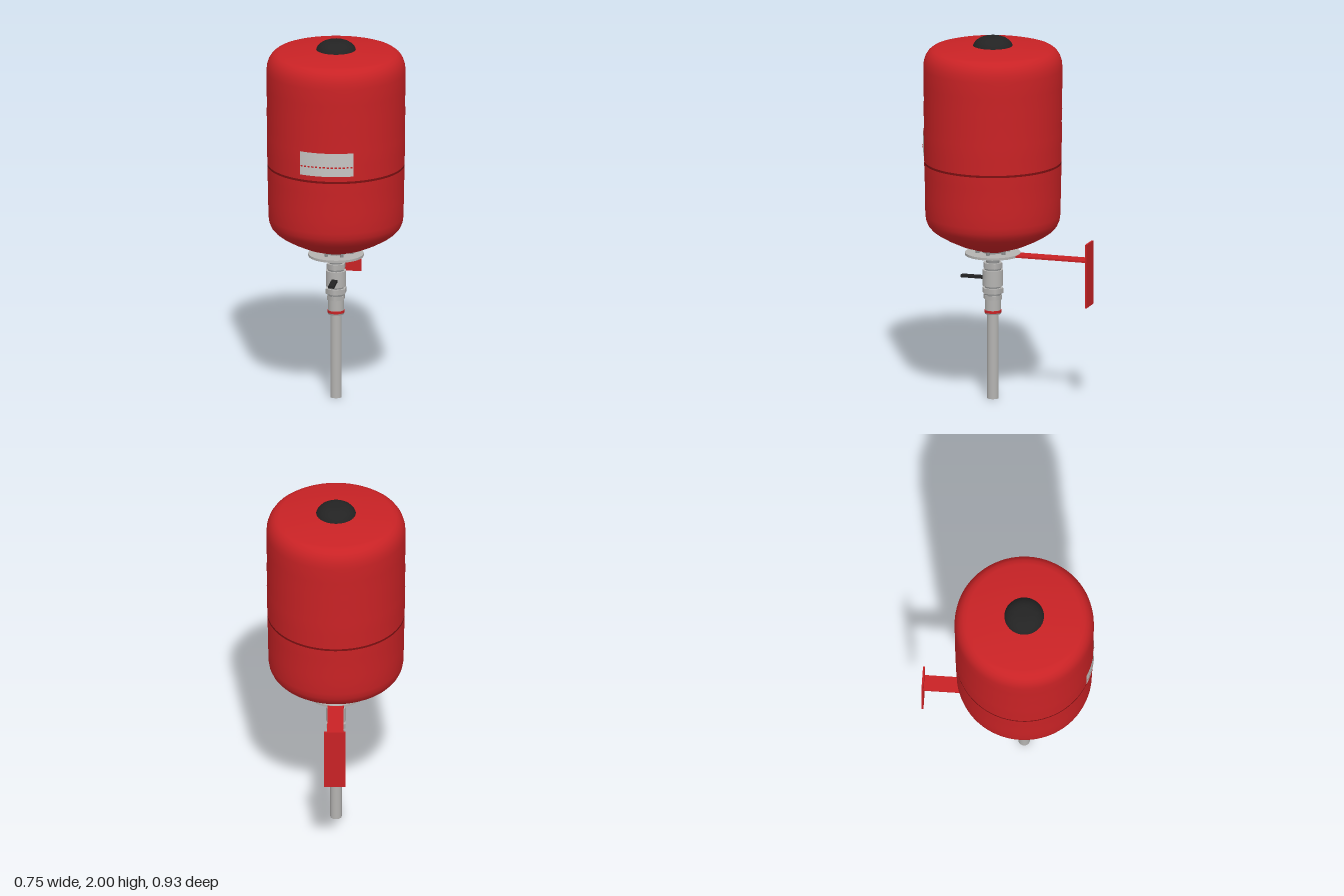
import * as THREE from 'three';
import { toCreasedNormals } from 'three/addons/utils/BufferGeometryUtils.js';

const AXIS_Z = 0.087; // the tank and pipe share this vertical axis

function material(name, color) {
  const m = new THREE.MeshStandardMaterial({ color });
  m.name = name;
  return m;
}

export function createModel() {
  const red = material('red paint', 0xc92225);
  const darkRed = material('seam red', 0x7d1012);
  const black = material('black plastic', 0x232323);
  const steel = material('steel', 0xb4b3b1);
  const grey = material('fitting grey', 0x8f9090);
  const white = material('label grey', 0xc6c5c3);
  white.side = THREE.DoubleSide;
  red.side = THREE.DoubleSide;

  const model = new THREE.Group();
  model.name = 'expansionVessel';
  const vessel = new THREE.Group();
  vessel.name = 'vessel';
  vessel.position.z = AXIS_Z;
  model.add(vessel);

  function add(parent, name, geometry, mat, x = 0, y = 0, z = 0) {
    const mesh = new THREE.Mesh(geometry, mat);
    mesh.name = name;
    mesh.position.set(x, y, z);
    parent.add(mesh);
    return mesh;
  }
  const lathe = (points, segments = 72) => toCreasedNormals(
    new THREE.LatheGeometry(points.map(([r, y]) => new THREE.Vector2(r, y)), segments), 0.5);
  // Upright cylinder or prism between two heights
  const column = (name, r, y0, y1, mat, sides = 32) =>
    add(vessel, name, new THREE.CylinderGeometry(r, r, y1 - y0, sides), mat, 0, (y0 + y1) / 2);

  // Tank: shallow cone base, slightly wavy wall and rounded shoulder
  add(vessel, 'tankLower', lathe([
    [0, 0.81], [0.05, 0.813], [0.12, 0.835], [0.18, 0.855], [0.25, 0.888], [0.3, 0.917],
    [0.327, 0.937], [0.347, 0.96], [0.359, 0.987], [0.364, 1.02], [0.365, 1.08],
    [0.367, 1.13], [0.366, 1.18], [0.369, 1.24], [0.37, 1.304],
  ]), red);
  add(vessel, 'tankUpper', lathe([
    [0.37, 1.316], [0.371, 1.4], [0.373, 1.48], [0.371, 1.53], [0.374, 1.6], [0.372, 1.66],
    [0.375, 1.74], [0.375, 1.83], [0.372, 1.865], [0.363, 1.893], [0.349, 1.915],
    [0.33, 1.93], [0.305, 1.937], [0.1, 1.953], [0, 1.953],
  ]), red);
  column('tankSeam', 0.3695, 1.302, 1.318, darkRed, 72);

  // Domed cap on top, with a thin red collar
  add(vessel, 'cap', lathe([
    [0.107, 1.952], [0.102, 1.964], [0.09, 1.978], [0.073, 1.99], [0.053, 1.998],
    [0.03, 2], [0, 2],
  ], 48), black);

  // Curved label with a dashed line across it
  const labelPlate = (name, r, y0, y1, start, length, mat) => add(vessel, name,
    new THREE.CylinderGeometry(r, r, y1 - y0, 16, 1, true, start, length), mat, 0, (y0 + y1) / 2);
  labelPlate('label', 0.376, 1.345, 1.475, -0.396, 0.792, white);
  const dashes = 14, step = 0.792 / dashes;
  for (let i = 0; i < dashes; i++) {
    labelPlate('labelDash', 0.378, 1.392, 1.4, -0.396 + (i + 0.2) * step, step * 0.6, red);
  }

  // Mounting flange with studs up to the tank
  column('flange', 0.15, 0.795, 0.808, steel, 48);
  column('flangeNeck', 0.055, 0.806, 0.825, grey);
  for (let i = 0; i < 6; i++) {
    const a = (i + 0.5) * Math.PI / 3;
    add(vessel, 'stud', new THREE.CylinderGeometry(0.011, 0.011, 0.03, 6), grey,
      0.085 * Math.sin(a), 0.819, 0.085 * Math.cos(a));
  }

  // Valve and couplings: [name, radius, bottom, top, material, sides]
  for (const part of [
    ['upperCollar', 0.055, 0.78, 0.796, steel, 32],
    ['upperNeck', 0.036, 0.745, 0.782, grey, 32],
    ['upperNut', 0.054, 0.722, 0.752, steel, 6],
    ['upperWaist', 0.044, 0.705, 0.724, grey, 32],
    ['valveBody', 0.055, 0.625, 0.712, steel, 32],
    ['lowerWaist', 0.042, 0.61, 0.627, grey, 32],
    ['unionNut', 0.06, 0.585, 0.613, steel, 6],
    ['unionRing', 0.046, 0.572, 0.587, grey, 32],
    ['lowerNut', 0.052, 0.55, 0.574, steel, 6],
    ['pressSleeve', 0.043, 0.488, 0.552, steel, 32],
    ['sleeveRing', 0.046, 0.476, 0.49, red, 32],
    ['sleeveEnd', 0.043, 0.468, 0.477, grey, 32],
    ['pipe', 0.031, 0, 0.47, steel, 32],
  ]) column(...part);

  // Valve lever
  add(vessel, 'lever', new THREE.BoxGeometry(0.032, 0.014, 0.13), black, 0, 0.666, 0.113);

  // Wall bracket: flat arm and upright back plate
  add(model, 'bracketArm', new THREE.BoxGeometry(0.087, 0.01, 0.5), red, 0, 0.801, -0.205);
  add(model, 'wallPlate', new THREE.BoxGeometry(0.116, 0.35, 0.01), red, 0, 0.724, -0.458);

  return model;
}
